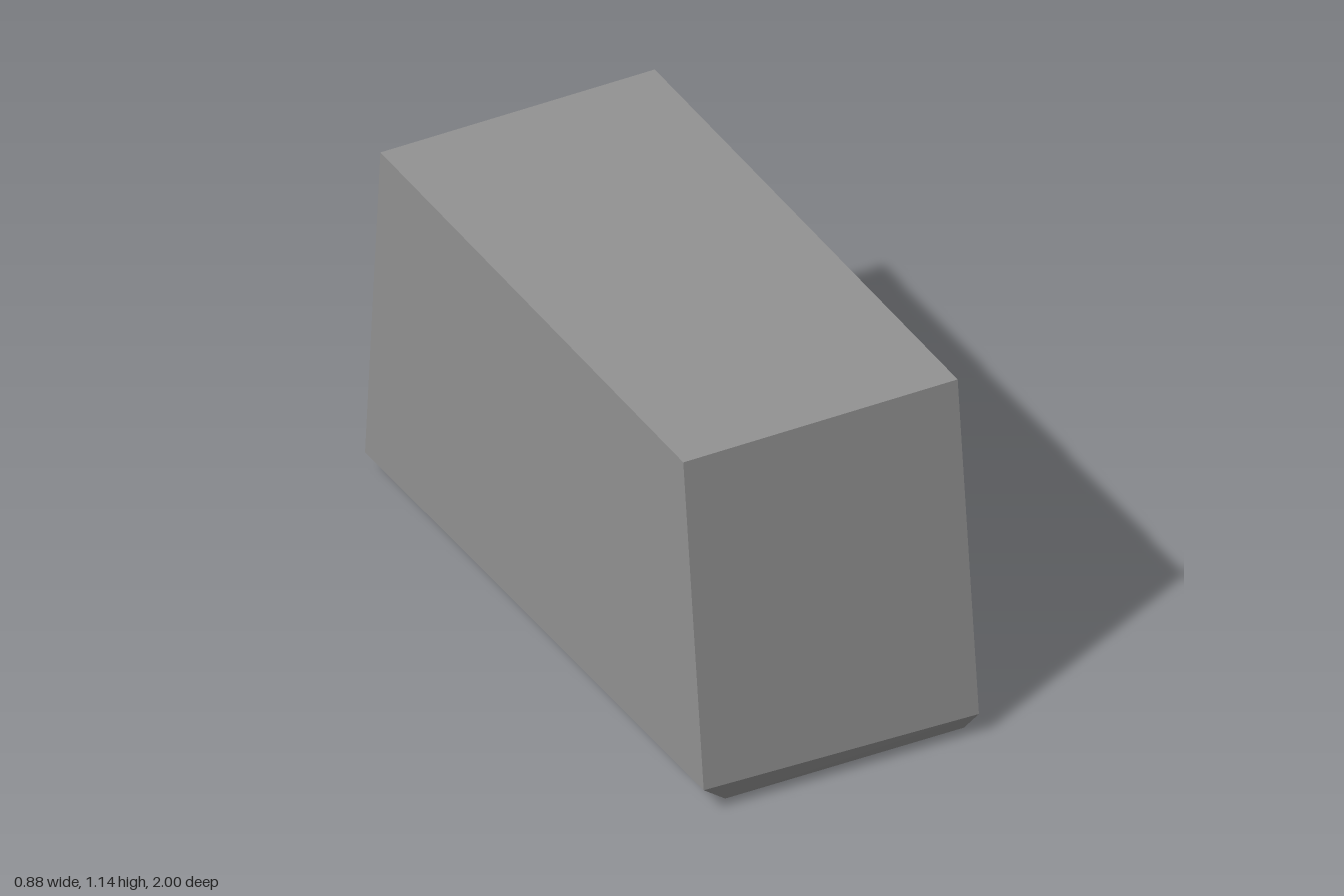
import * as THREE from 'three';

const bodyMat = new THREE.MeshStandardMaterial({ color: 0x929292, flatShading: true });
const drawerMat = new THREE.MeshStandardMaterial({ color: 0xcccccc, flatShading: true });
const knobMat = new THREE.MeshStandardMaterial({ color: 0x384653, flatShading: true });

// Flat-faced geometry from a list of quads (corners counter-clockwise from outside)
function fromQuads(quads) {
  const pos = [];
  for (const [a, b, c, d] of quads) pos.push(...a, ...b, ...c, ...a, ...c, ...d);
  const g = new THREE.BufferGeometry();
  g.setAttribute('position', new THREE.Float32BufferAttribute(pos, 3));
  g.computeVertexNormals();
  return g;
}

// Four wall quads joining one ring of corners to the next
const band = (a, b) => a.map((p, i) => [p, a[(i + 1) % 4], b[(i + 1) % 4], b[i]]);

// Lift [z, y] corners onto a plane of constant x
const atX = (x, corners) => corners.map(([z, y]) => [x, y, z]);

function mesh(name, geometry, material) {
  const m = new THREE.Mesh(geometry, material);
  m.name = name;
  return m;
}

export function createModel() {
  const group = new THREE.Group();
  group.name = 'drawerChest';

  // Tapered, slightly crooked case: base, widest belt and top rings
  const base = [[-0.36, 0.02, 0.965], [0.405, 0.02, 0.975], [0.405, 0, -0.955], [-0.36, 0.005, -0.955]];
  const belt = [[-0.443, 0.09, 0.99], [0.44, 0.07, 1], [0.44, 0.045, -1], [-0.443, 0.07, -1]];
  const top = [[-0.443, 1.137, 0.87], [0.44, 1.137, 0.875], [0.44, 1.145, -0.905], [-0.443, 1.145, -0.91]];

  // Drawer side: frame around a shallow recess
  const rim = [top[1], belt[1], belt[2], top[2]];
  const opening = [[0.813, 1.07], [0.912, 0.116], [-0.906, 0.116], [-0.838, 1.09]];
  const outer = atX(0.44, opening);
  const inner = atX(0.385, opening);
  const walls = band(belt, top).filter((_, i) => i !== 1);
  const shell = [...band(base, belt), ...walls, top, [...base].reverse(),
    ...band(rim, outer), ...band(outer, inner), inner];
  group.add(mesh('case', fromQuads(shell), bodyMat));

  // Drawer fronts, each a thin skewed slab with a hexagonal knob
  const faceX = 0.397;
  const drawers = [
    { corners: [[0.803, 1.052], [0.837, 0.754], [-0.849, 0.764], [-0.828, 1.076]], knobY: 0.898 },
    { corners: [[0.84, 0.743], [0.87, 0.434], [-0.88, 0.441], [-0.852, 0.755]], knobY: 0.59 },
    { corners: [[0.873, 0.424], [0.907, 0.118], [-0.902, 0.132], [-0.88, 0.433]], knobY: 0.285 },
  ];
  drawers.forEach(({ corners, knobY }, i) => {
    const front = atX(faceX, corners);
    const back = atX(0.386, corners);
    group.add(mesh(`drawer${i + 1}`, fromQuads([front, ...band(back, front)]), drawerMat));

    const knobGeo = new THREE.CylinderGeometry(0.04, 0.03, 0.03, 6);
    knobGeo.rotateZ(-Math.PI / 2);
    const knob = mesh(`knob${i + 1}`, knobGeo, knobMat);
    knob.position.set(faceX + 0.014, knobY, -0.01);
    group.add(knob);
  });

  return group;
}
